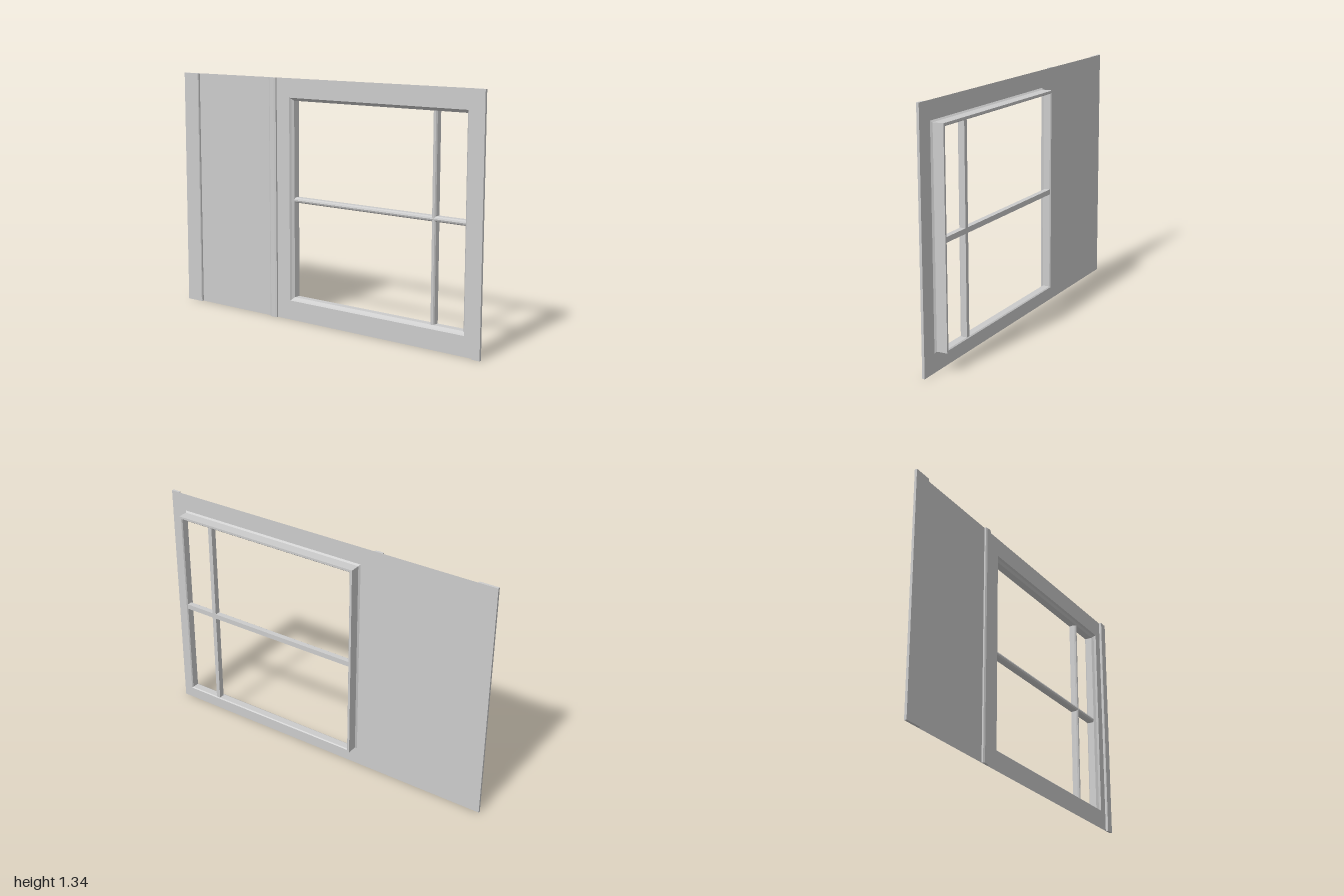
import * as THREE from 'three';

const HEIGHT = 1.335, PANEL_X = -0.027;
// outer limits of the window frame
const WIN = { z0: -0.227, z1: 0.9, y0: 0.108, y1: 1.23 };

const material = new THREE.MeshStandardMaterial({ color: 0xcccccc, side: THREE.DoubleSide });

function add(group, name, geometry, x = 0, y = 0, z = 0) {
  const mesh = new THREE.Mesh(geometry, material);
  mesh.name = name;
  mesh.position.set(x, y, z);
  group.add(mesh);
}

// bar of given cross-section [x, side], running along +z or along +y
function bar(section, length, upright) {
  const shape = new THREE.Shape(section.map(([a, b]) => new THREE.Vector2(a, b)));
  const g = new THREE.ExtrudeGeometry(shape, { depth: length, bevelEnabled: false });
  return upright ? g.rotateX(-Math.PI / 2) : g;
}

// mitred rectangular ring: profile points are [inset from outer limits, x]
function frameRing(profile) {
  const pos = [];
  const corner = ([d, x], k) => [
    x,
    k === 0 || k === 1 ? WIN.y0 + d : WIN.y1 - d,
    k === 0 || k === 3 ? WIN.z1 - d : WIN.z0 + d,
  ];
  for (let i = 0; i < profile.length - 1; i++) {
    for (let k = 0; k < 4; k++) {
      const n = (k + 1) % 4;
      const a = corner(profile[i], k), b = corner(profile[i], n);
      const c = corner(profile[i + 1], n), d = corner(profile[i + 1], k);
      pos.push(...a, ...b, ...c, ...a, ...c, ...d);
    }
  }
  const g = new THREE.BufferGeometry();
  g.setAttribute('position', new THREE.Float32BufferAttribute(pos, 3));
  g.computeVertexNormals();
  return g;
}

// muntin section: flat front, rounded back
function muntinSection(w) {
  const h = w / 2;
  return [[0.035, -h], [0.035, h], [0.005, h], [-0.003, h * 0.6], [-0.006, 0], [-0.003, -h * 0.6], [0.005, -h]];
}

export function createModel() {
  const group = new THREE.Group();
  group.name = 'wallPanelWithWindow';

  // thin wall sheet with the window opening
  const sheet = new THREE.Shape([[-1, 0], [1, 0], [1, HEIGHT], [-1, HEIGHT]].map(p => new THREE.Vector2(...p)));
  sheet.holes.push(new THREE.Path([
    [-WIN.z1, WIN.y0], [-WIN.z1, WIN.y1], [-WIN.z0, WIN.y1], [-WIN.z0, WIN.y0],
  ].map(p => new THREE.Vector2(...p))));
  add(group, 'wallSheet', new THREE.ShapeGeometry(sheet).rotateY(Math.PI / 2), PANEL_X);

  // projecting frame: flared foot, outer side, front rim, reveal, back bevel
  add(group, 'windowFrame', frameRing([
    [-0.008, PANEL_X], [0, -0.018], [0, 0.04], [0.012, 0.04], [0.017, 0.034],
    [0.017, -0.005], [0.006, -0.016], [0, PANEL_X],
  ]));

  // glazing bars
  const inset = 0.016;
  add(group, 'horizontalMuntin', bar(muntinSection(0.028), WIN.z1 - WIN.z0 - 2 * inset, false),
    0, 0.67, WIN.z0 + inset);
  add(group, 'verticalMuntin', bar(muntinSection(0.024), WIN.y1 - WIN.y0 - 2 * inset, true),
    0, WIN.y0 + inset, 0.692);

  // battens on the back: wide edge, narrow middle, far edge
  for (const [name, z0, z1, chamfer] of [
    ['rearEdgeBatten', -1, -0.893, 0.003],
    ['middleBatten', -0.363, -0.315, 0.01],
    ['frontEdgeBatten', 0.95, 1, 0.003],
  ]) {
    const h = (z1 - z0) / 2;
    const c0 = z0 === -1 ? 0 : chamfer, c1 = z1 === 1 ? 0 : chamfer;
    const section = [[PANEL_X, -h], [PANEL_X, h], [-0.036, h], [-0.041, h - c0], [-0.041, c1 - h], [-0.036, -h]];
    add(group, name, bar(section, HEIGHT, true), 0, 0, (z0 + z1) / 2);
  }
  return group;
}
